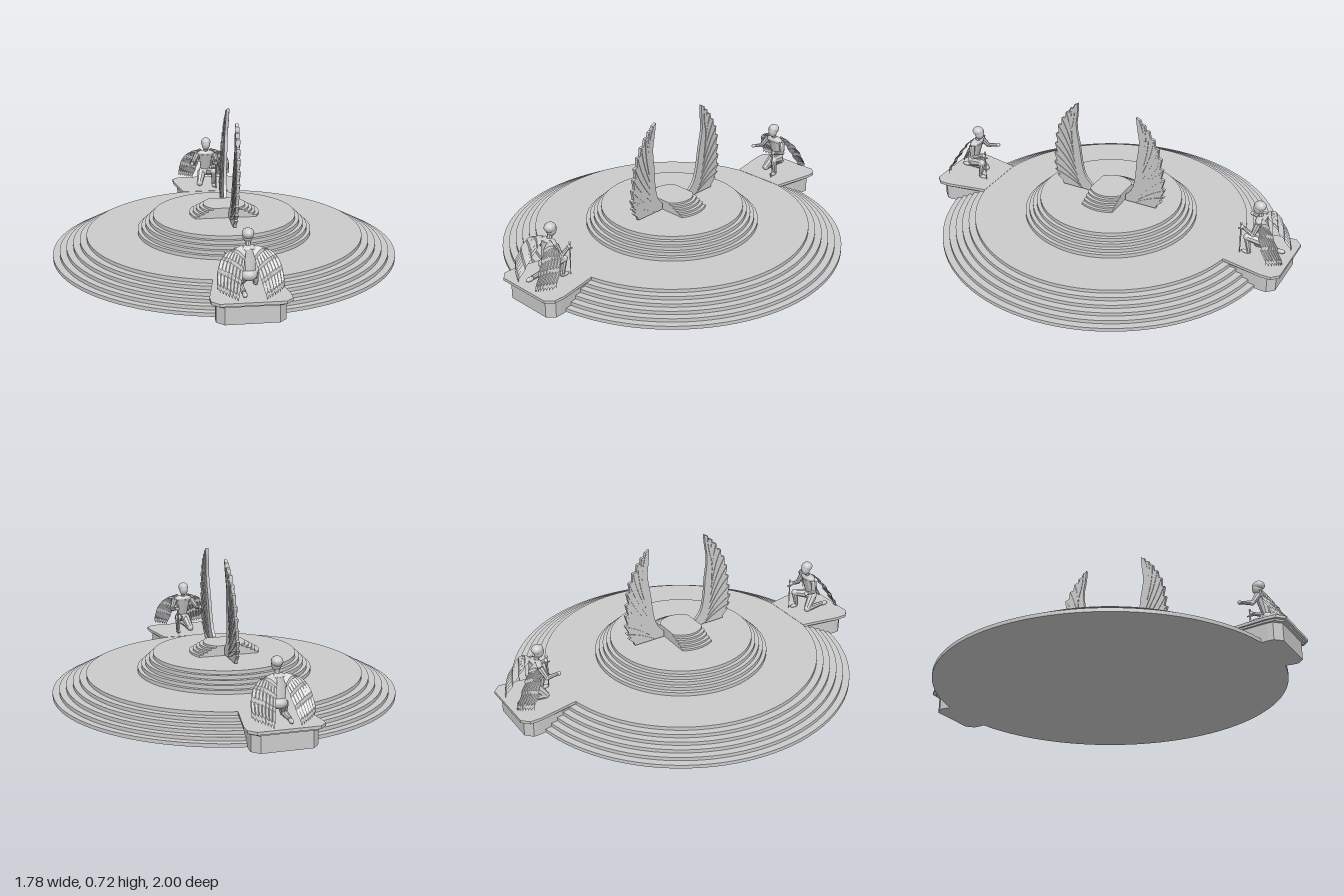
import * as THREE from 'three';

const grey = new THREE.MeshStandardMaterial({ color: 0xcccccc });
const flat = new THREE.MeshStandardMaterial({ color: 0xcccccc, flatShading: true });
const thin = new THREE.MeshStandardMaterial({ color: 0xcccccc, flatShading: true, side: THREE.DoubleSide });
const V = (x, y, z) => new THREE.Vector3(x, y, z);

function add(parent, name, geometry, material = flat) {
  const mesh = new THREE.Mesh(geometry, material);
  mesh.name = name;
  parent.add(mesh);
  return mesh;
}

// Round stack of equal steps
function steps(parent, name, radii, y0, y1) {
  const h = (y1 - y0) / radii.length;
  radii.forEach((r, i) => {
    const g = new THREE.CylinderGeometry(r, r, h, 96);
    g.translate(0, y0 + h * (i + 0.5), 0);
    add(parent, name, g, grey);
  });
}

// Upright prism from a plan outline of [x, z] points
function prism(points, y0, y1) {
  const shape = new THREE.Shape(points.map(([x, z]) => new THREE.Vector2(x, -z)));
  const g = new THREE.ExtrudeGeometry(shape, { depth: y1 - y0, bevelEnabled: false });
  return g.rotateX(-Math.PI / 2).translate(0, y0, 0);
}

// Tapered round limb between two points
function limb(parent, name, a, b, ra, rb, sides = 8) {
  const mesh = add(parent, name, new THREE.CylinderGeometry(rb, ra, a.distanceTo(b), sides));
  mesh.position.copy(a).lerp(b, 0.5);
  mesh.quaternion.setFromUnitVectors(V(0, 1, 0), b.clone().sub(a).normalize());
  return mesh;
}

function ball(parent, name, p, r, sx = 1, sy = 1, sz = 1) {
  const mesh = add(parent, name, new THREE.SphereGeometry(r, 12, 8), grey);
  mesh.position.copy(p);
  mesh.scale.set(sx, sy, sz);
  return mesh;
}

// Plate lying in the z-y plane, leaning slightly towards +x
function plate(shape, thickness, side) {
  const g = new THREE.ExtrudeGeometry(shape, { depth: thickness, bevelEnabled: false, curveSegments: 6 });
  g.translate(0, 0, -thickness / 2).rotateY(-Math.PI / 2);
  const p = g.attributes.position;
  for (let i = 0; i < p.count; i++) p.setX(i, p.getX(i) + 0.018 + (p.getY(i) - 0.2) * 0.047);
  if (side < 0) g.rotateY(Math.PI).scale(-1, 1, 1).scale(1, 1, 1);
  return g;
}

// Tall upright wing: plate with a toothed outer edge and raised feathers
function tallWing(side) {
  const wing = new THREE.Group();
  wing.name = 'tallWing';
  const outer = new THREE.CatmullRomCurve3([
    V(0.29, 0.23, 0), V(0.317, 0.3, 0), V(0.312, 0.42, 0), V(0.29, 0.55, 0), V(0.235, 0.65, 0), V(0.18, 0.71, 0)]);
  const inner = new THREE.CatmullRomCurve3([
    V(0.165, 0.72, 0), V(0.17, 0.66, 0), V(0.18, 0.58, 0), V(0.165, 0.47, 0), V(0.155, 0.37, 0), V(0.135, 0.29, 0), V(0.097, 0.245, 0)]);
  const outline = [[0.097, 0.212], [0.27, 0.212]];
  const n = 11;
  for (let i = 0; i < n; i++) {
    const a = outer.getPoint(i / n), b = outer.getPoint((i + 0.9) / n);
    outline.push([a.x - 0.014, a.y], [b.x + 0.004, b.y], [b.x - 0.007, b.y + 0.004]);
  }
  inner.getPoints(14).forEach(p => outline.push([p.x, p.y]));
  const shape = new THREE.Shape(outline.map(([z, y]) => new THREE.Vector2(z, y)));
  add(wing, 'wingBlade', plate(shape, 0.016, 1));
  // Feathers fan from the inner edge up to the outer teeth
  for (let i = 1; i < n; i++) {
    const tip = outer.getPoint((i + 0.85) / n);
    const root = inner.getPoint(1 - 0.75 * i / n);
    root.x += 0.035;
    root.y -= 0.05;
    if (tip.y - root.y < 0.03) root.y = tip.y - 0.08;
    const d = tip.clone().sub(root), w = V(-d.y, d.x, 0).setLength(0.016);
    const m = root.clone().addScaledVector(d, 0.6);
    const f = new THREE.Shape();
    f.moveTo(root.x, root.y);
    f.quadraticCurveTo(m.x - w.x, m.y - w.y, tip.x, tip.y);
    f.quadraticCurveTo(m.x + w.x, m.y + w.y, root.x, root.y);
    add(wing, 'wingFeather', plate(f, 0.021 + 0.001 * (i % 3), 1));
  }
  wing.scale.z = side;
  return wing;
}

// Folded wing of a figure: curved sheet with feather ridges and ragged hem
function foldedWing(side) {
  const inner = new THREE.QuadraticBezierCurve(
    new THREE.Vector2(0.015, 0.305), new THREE.Vector2(0.03, 0.24), new THREE.Vector2(0.065, 0.12));
  const outer = new THREE.QuadraticBezierCurve(
    new THREE.Vector2(0.045, 0.318), new THREE.Vector2(0.16, 0.31), new THREE.Vector2(0.152, 0.15));
  const nu = 28, nv = 12, pos = [], index = [];
  for (let j = 0; j <= nv; j++) for (let i = 0; i <= nu; i++) {
    const u = i / nu, v = j / nv;
    const tooth = (i % 4) / 4;
    const a = inner.getPoint(v), b = outer.getPoint(v);
    const x = a.x + (b.x - a.x) * u;
    const y = Math.max(0.114, a.y + (b.y - a.y) * u + 0.015 * Math.sin(Math.PI * u) * (1 - v) + (tooth - 0.3) * 0.022 * v * v);
    const drop = Math.max(0, (0.32 - y) / 0.2);
    const z = 0.85 + 0.125 * Math.pow(drop, 0.9) - 0.035 * u * u * v + 0.008 * tooth * v + 0.004 * (j % 3);
    pos.push(side * x, y, z);
    if (i < nu && j < nv) {
      const k = j * (nu + 1) + i, m = k + nu + 1;
      if (side > 0) index.push(k, m, k + 1, k + 1, m, m + 1);
      else index.push(k, k + 1, m, k + 1, m + 1, m);
    }
  }
  const g = new THREE.BufferGeometry();
  g.setAttribute('position', new THREE.Float32BufferAttribute(pos, 3));
  g.setIndex(index);
  g.computeVertexNormals();
  return g;
}

// Kneeling winged figure with a sword, facing the centre; s is the sword side
function kneelingFigure(s) {
  const f = new THREE.Group();
  f.name = 'kneelingFigure';
  const P = (x, y, z) => V(s * x, y, z);
  // Head, helmet and neck
  ball(f, 'head', P(0, 0.36, 0.815), 0.027, 0.9, 1.2, 1);
  ball(f, 'helmet', P(0, 0.374, 0.822), 0.03, 0.95, 0.85, 1.05);
  limb(f, 'neck', P(0, 0.31, 0.832), P(0, 0.345, 0.822), 0.014, 0.012);
  // Torso and hips
  limb(f, 'torso', P(0, 0.2, 0.858), P(0, 0.305, 0.835), 0.028, 0.042, 10).scale.z = 0.75;
  ball(f, 'shoulders', P(0, 0.303, 0.835), 0.05, 1.05, 0.4, 0.55);
  ball(f, 'hips', P(0, 0.19, 0.86), 0.036, 1.1, 0.8, 0.9);
  // Raised leg
  limb(f, 'thigh', P(0.02, 0.185, 0.855), P(0.042, 0.205, 0.78), 0.025, 0.018);
  ball(f, 'knee', P(0.042, 0.205, 0.78), 0.018);
  limb(f, 'shin', P(0.042, 0.125, 0.795), P(0.042, 0.205, 0.78), 0.011, 0.017);
  ball(f, 'foot', P(0.042, 0.12, 0.78), 0.013, 0.9, 0.7, 2);
  // Kneeling leg
  limb(f, 'thigh', P(-0.02, 0.185, 0.855), P(-0.038, 0.13, 0.81), 0.026, 0.018);
  ball(f, 'knee', P(-0.038, 0.129, 0.81), 0.018);
  limb(f, 'shin', P(-0.03, 0.128, 0.92), P(-0.038, 0.128, 0.81), 0.011, 0.017);
  ball(f, 'foot', P(-0.03, 0.125, 0.935), 0.013, 0.9, 0.9, 1.8);
  // Arms
  const arms = [[P(0.05, 0.3, 0.835), P(0.07, 0.245, 0.82), P(0.052, 0.262, 0.757)],
    [P(-0.05, 0.3, 0.835), P(-0.078, 0.25, 0.815), P(-0.088, 0.262, 0.755)]];
  for (const [shoulder, elbow, hand] of arms) {
    limb(f, 'upperArm', shoulder, elbow, 0.017, 0.012);
    ball(f, 'elbow', elbow, 0.012);
    limb(f, 'forearm', elbow, hand, 0.012, 0.008);
    ball(f, 'hand', hand, 0.011);
  }
  // Sword standing on its point
  limb(f, 'swordBlade', P(0.052, 0.112, 0.75), P(0.052, 0.25, 0.75), 0.002, 0.005, 4);
  limb(f, 'swordGrip', P(0.052, 0.25, 0.75), P(0.052, 0.28, 0.75), 0.004, 0.004, 6);
  limb(f, 'swordGuard', P(0.052, 0.25, 0.735), P(0.052, 0.25, 0.768), 0.004, 0.004, 6);
  ball(f, 'swordPommel', P(0.052, 0.282, 0.75), 0.006);
  for (const w of [-1, 1]) add(f, 'foldedWing', foldedWing(w), thin);
  return f;
}

// Plinth cutting into the lower steps, with a wider top slab
function plinth() {
  const g = new THREE.Group();
  g.name = 'plinth';
  const plan = (inset, y0, y1, name) => {
    const half = [[0.145 - inset / 2, 0.7], [0.185 - inset, 0.91], [0.185 - inset, 0.965 - inset], [0.15 - inset, 1 - inset]];
    const other = half.map(([x, z]) => [-x, z]).reverse();
    add(g, name, prism([...half, ...other], y0, y1));
  };
  plan(0.025, 0, 0.088, 'plinthBody');
  plan(0.012, 0.088, 0.097, 'plinthMoulding');
  plan(0, 0.097, 0.1115, 'plinthTop');
  return g;
}

export function createModel() {
  const model = new THREE.Group();
  model.name = 'steppedMonument';
  steps(model, 'lowerStep', [0.89, 0.855, 0.82, 0.785, 0.75, 0.715], 0, 0.11);
  steps(model, 'upperStep', [0.45, 0.43, 0.41, 0.39, 0.37], 0.11, 0.205);

  // Central block: concentric steps trimmed to a straight band
  const halfWidth = 0.088;
  for (let i = 0; i < 5; i++) {
    const r = 0.18 - i * 0.0175, a = Math.asin(halfWidth / r), pts = [];
    for (const turn of [0, Math.PI])
      for (let k = -8; k <= 8; k++) pts.push([r * Math.cos(turn + a * k / 8), r * Math.sin(turn + a * k / 8)]);
    add(model, 'centralStep', prism(pts, 0.205 + i * 0.0105, 0.2155 + i * 0.0105));
  }

  for (const side of [1, -1]) {
    model.add(tallWing(side));
    const end = new THREE.Group();
    end.name = side > 0 ? 'frontGuardian' : 'backGuardian';
    end.add(plinth(), kneelingFigure(side));
    if (side < 0) end.rotation.y = Math.PI;
    model.add(end);
  }
  return model;
}
